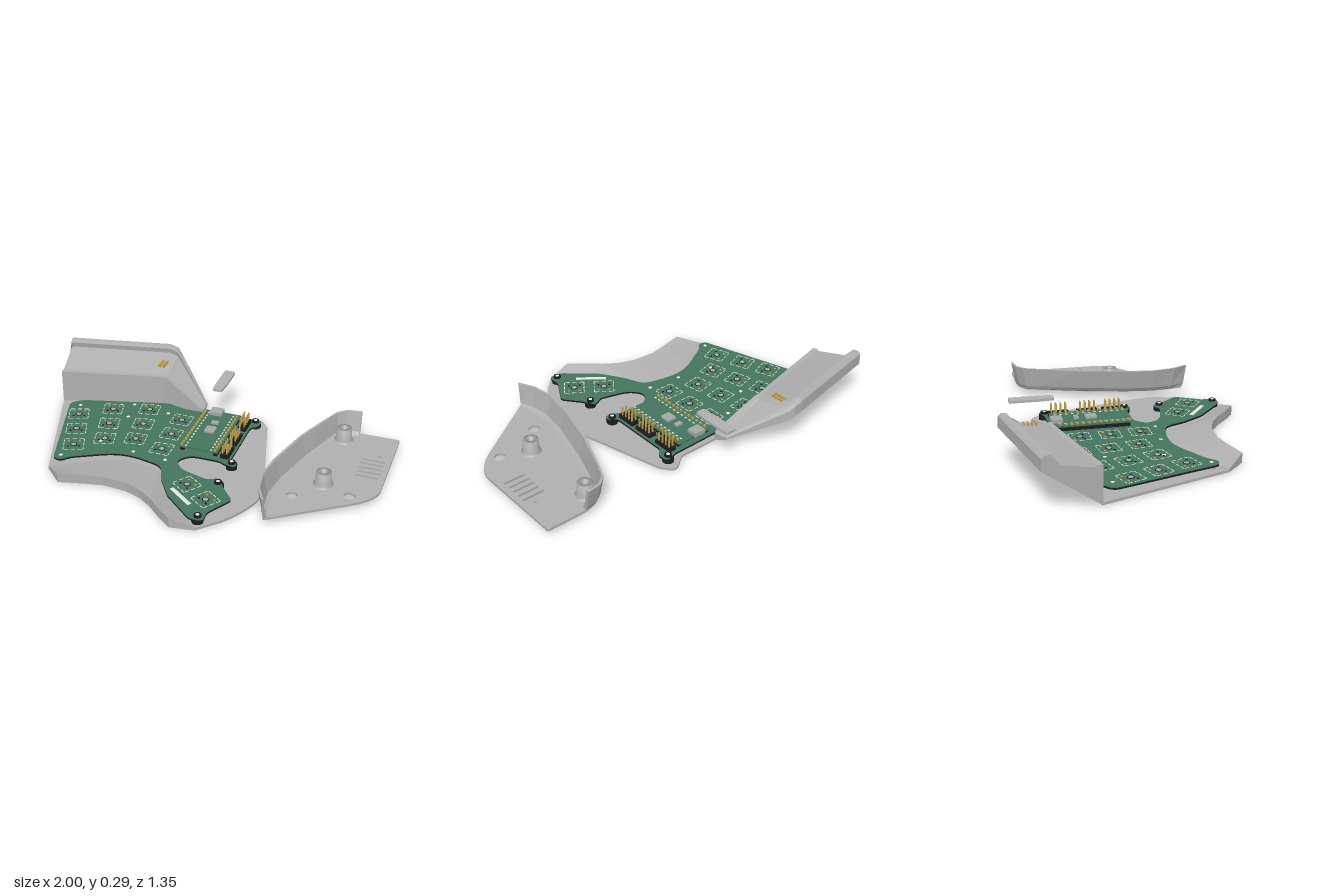
import * as THREE from 'three';

const paint = (name, color, side = THREE.FrontSide) => {
  const m = new THREE.MeshStandardMaterial({ color, side });
  m.name = name;
  return m;
};

// Closed outline with rounded corners; points are [x, z, radius]
function outline(pts, radius, PathType = THREE.Shape) {
  const s = new PathType(), n = pts.length;
  const v = pts.map(p => new THREE.Vector2(p[0], -p[1]));
  for (let i = 0; i < n; i++) {
    const a = v[(i + n - 1) % n], b = v[i], c = v[(i + 1) % n];
    const r = Math.min(pts[i][2] ?? radius, a.distanceTo(b) * 0.48, b.distanceTo(c) * 0.48);
    const p = b.clone().add(a.clone().sub(b).setLength(r)), q = b.clone().add(c.clone().sub(b).setLength(r));
    if (i) s.lineTo(p.x, p.y); else s.moveTo(p.x, p.y);
    if (r > 0) s.quadraticCurveTo(b.x, b.y, q.x, q.y);
  }
  s.closePath();
  return s;
}

function roundHole(x, z, r) {
  const p = new THREE.Path();
  p.absarc(x, -z, r, 0, Math.PI * 2, true);
  return p;
}

// Flat plate lying in xz, from y0 up to y0 + h
function plate(shape, y0, h) {
  const g = new THREE.ExtrudeGeometry(shape, { depth: h, bevelEnabled: false, curveSegments: 6 });
  return g.rotateX(-Math.PI / 2).translate(0, y0, 0);
}

// Skin over matching closed rings of [x, y, z], with end caps
function loft(rings) {
  const pos = [], n = rings[0].length;
  for (let i = 0; i + 1 < rings.length; i++) {
    for (let j = 0; j < n; j++) {
      const k = (j + 1) % n, A = rings[i], B = rings[i + 1];
      pos.push(...A[j], ...B[j], ...B[k], ...A[j], ...B[k], ...A[k]);
    }
  }
  for (const r of [rings[0], rings[rings.length - 1]])
    for (let j = 1; j + 1 < n; j++) pos.push(...r[0], ...r[j], ...r[j + 1]);
  const g = new THREE.BufferGeometry();
  g.setAttribute('position', new THREE.Float32BufferAttribute(pos, 3));
  g.computeVertexNormals();
  return g;
}

export function createModel() {
  const root = new THREE.Group();
  const gray = paint('caseGray', 0xb0b0b0, THREE.DoubleSide);
  const green = paint('boardGreen', 0x44755e);
  const black = paint('black', 0x1c1c1c);
  const white = paint('printWhite', 0xe6e6e2);
  const gold = paint('pinGold', 0xc2a04c);
  const silver = paint('metalSilver', 0xa4a8a6);

  const add = (name, geo, mat, parent = root) => {
    const m = new THREE.Mesh(geo, mat);
    m.name = name;
    parent.add(m);
    return m;
  };
  const box = (name, x, y, z, w, h, d, mat, parent) =>
    add(name, new THREE.BoxGeometry(w, h, d).translate(x, y, z), mat, parent);
  const disc = (name, x, y, z, r, h, mat, parent, r2 = r) =>
    add(name, new THREE.CylinderGeometry(r, r2, h, 20).translate(x, y, z), mat, parent);

  // Base plate and raised wrist edge
  const inner = [[-.706, .4], [-.5, .265], [-.35, .212], [-.21, .225], [-.13, .255], [-.05, .41], [.01, .48], [.21, .655]];
  const outer = [[-.604, .5], [-.47, .467], [-.37, .448], [-.24, .458], [-.15, .49], [-.07, .545], [0, .61], [.08, .674]];
  const base = outline([
    [-.945, -.28, 0], [-.36, -.415], [-.115, -.37, 0], [.12, -.37], [.215, -.445, .06], [.27, -.37],
    [.42, .2, .1], [.43, .33, .1], [.35, .51, .1], [.21, .655, 0], ...outer.slice().reverse(), [-.706, .4, 0],
  ], .01);
  add('basePlate', plate(base, 0, .014), gray);
  add('wristEdge', loft(inner.map(([x, z], i) => [
    [x, .005, z], [x, .016, z], [outer[i][0], .053, outer[i][1]], [outer[i][0], 0, outer[i][1]],
  ])), gray);

  // Rear tray: sloped underside, upright front wall, shelf and rear lip
  const section = (front, rim, wall, top) => {
    const mix = (t, y) => [front[0] + (rim[0] - front[0]) * t, y, front[1] + (rim[1] - front[1]) * t];
    return [
      mix(0, 0), mix(0, wall), mix(.1, wall), mix(.12, wall - .008), mix(.86, top * .84),
      mix(.84, top * .94), mix(.86, top), mix(.95, top), mix(1, top * .95), mix(1.01, top * .74),
    ];
  };
  add('rearTray', loft([
    section([-.945, -.275], [-1, -.56], .2, .285),
    section([-.38, -.408], [-.42, -.675], .2, .285),
    section([-.35, -.408], [-.37, -.675], .198, .27),
    section([-.33, -.405], [-.345, -.66], .185, .245),
    section([-.115, -.365], [-.115, -.45], .055, .06),
  ]), gray);
  for (let i = 0; i < 8; i++)
    box('trayContact', -.425 + (i % 2) * .024, .222, -.555 + (i >> 1) * .02, .013, .014, .01, gold);

  // Circuit board
  const board = outline([
    [-.87, -.21, .04], [-.81, -.26, .04], [-.33, -.39], [-.22, -.36], [.16, -.365], [.235, -.39, .035], [.235, -.32, .03],
    [.195, -.29], [.195, .06], [.24, .09], [.235, .12], [.19, .115], [.14, .09], [-.02, .09, .06], [-.075, .16, .05],
    [-.02, .235, .05], [.14, .28], [.2, .245, .03], [.24, .32], [.315, .41], [.235, .55], [.24, .63, .035],
    [.165, .625], [-.005, .475], [-.085, .35], [-.13, .235, .05], [-.37, .18, .12], [-.61, .31], [-.66, .36], [-.7, .35],
  ], .02);
  const pcb = new THREE.Group();
  pcb.name = 'circuitBoard';
  root.add(pcb);
  add('boardEdge', plate(board, .033, .009), black, pcb);
  add('boardFace', plate(board, .042, .004), green, pcb);

  // Mounting points and screw positions
  for (const [x, z] of [[.203, -.36], [.21, .09], [.203, .29], [.203, .6]]) {
    disc('standoff', x, .026, z, .03, .03, black, pcb);
    disc('screwHead', x, .05, z, .02, .014, black, pcb);
    disc('screwHole', x, .055, z, .01, .006, white, pcb);
    disc('baseScrew', x, 0, z, .014, .004, white);
  }
  for (const [x, z] of [[-.13, .18], [-.32, .16], [-.29, -.28], [-.49, -.17], [-.51, -.31], [-.8, -.2], [-.67, .32], [-.53, .12]]) {
    disc('boardHole', x, .046, z, .01, .003, white, pcb);
    disc('baseScrew', x, 0, z, .014, .004, white);
    disc('standoff', x, .023, z, .02, .022, gray);
  }

  // Key positions: x, z, turn in degrees
  const keys = [
    [-.765, -.105, 20], [-.71, .045, 20], [-.652, .2, 20], [-.604, -.222, 15], [-.561, -.067, 15], [-.519, .088, 15],
    [-.406, -.286, 8.5], [-.38, -.126, 8.5], [-.358, .035, 8.5], [-.193, -.238, 0], [-.193, -.078, 0], [-.187, .083, 0],
    [.059, .356, -36], [.193, .452, -36],
  ];
  for (const [x, z, turn] of keys) {
    const key = new THREE.Group();
    key.name = 'keyFootprint';
    key.position.set(x, .0465, z);
    key.rotation.y = THREE.MathUtils.degToRad(turn);
    pcb.add(key);
    for (const s of [-1, 1]) for (const t of [-1, 0, 1]) {
      box('printLine', t * .038, 0, s * .054, .025, .002, .004, white, key);
      box('printLine', s * .054, 0, t * .038, .004, .002, .025, white, key);
      if (t) disc('solderPad', t * .03, 0, s * .026 - .006, .006, .003, s > 0 ? black : gold, key);
    }
    disc('keyHoleRim', 0, 0, 0, .019, .002, black, key);
    disc('keyHole', 0, .001, 0, .014, .002, silver, key);
    box('socket', 0, -.02, .025, .08, .012, .035, black, key);
  }
  // Printed band beside the thumb keys
  const band = box('printBand', 0, 0, 0, .17, .002, .022, white, pcb);
  band.position.set(.065, .047, .468);
  band.rotation.y = -.66;

  // Controller module with its pin rows
  const ctl = new THREE.Group();
  ctl.name = 'controller';
  root.add(ctl);
  box('controllerBoard', .015, .07, -.145, .21, .01, .41, green, ctl);
  box('controllerChip', .012, .08, -.14, .055, .012, .06, silver, ctl);
  box('controllerPort', -.015, .084, -.33, .07, .022, .06, silver, ctl);
  box('controllerButton', .012, .08, -.22, .04, .012, .025, silver, ctl);
  for (const x of [-.082, .105]) {
    box('pinStrip', x, .055, -.14, .022, .02, .39, black, ctl);
    for (let i = 0; i < 13; i++) {
      box('pin', x, .077, -.32 + i * .031, .012, .016, .012, gold, ctl);
      box('pinPrint', x + (x > 0 ? -.022 : .022), .0755, -.32 + i * .031, .008, .002, .014, white, ctl);
    }
  }
  // Upright headers along the right edge
  for (const [z, n] of [[-.29, 4], [-.13, 4], [.01, 4]]) {
    box('headerBody', .16, .056, z, .045, .02, n * .028, black, ctl);
    for (let i = 0; i < n; i++) for (const x of [.146, .17])
      box('headerPin', x, .085, z + (i - (n - 1) / 2) * .026, .007, .06, .007, gold, ctl);
  }

  // Loose cable key above the port
  const bar = outline([[-.052, -.58], [.01, -.58], [.01, -.42], [.004, -.345], [-.048, -.345], [-.052, -.42]], .008);
  add('portCover', plate(bar, .204, .013), gray);

  // Side cover: floor with holes, slots and posts
  const floor = outline([
    [.78, -.435, 0], [1, -.435, .01], [1, .12, .07], [.93, .21, .07], [.505, .51, .02], [.49, .36, .05],
    [.508, .16, .1], [.575, -.1, .1], [.65, -.33], [.685, -.4, .03], [.72, -.42],
  ], .02);
  floor.holes.push(roundHole(.861, .179, .031), roundHole(.588, .27, .031), roundHole(.93, -.233, .008));
  for (let i = 0; i < 5; i++) {
    const z = -.185 + i * .041;
    floor.holes.push(outline([[.845, z - .007], [.845, z + .007], [.968, z + .007], [.968, z - .007]], .003, THREE.Path));
  }
  const cover = new THREE.Group();
  cover.name = 'sideCover';
  root.add(cover);
  add('coverFloor', plate(floor, .032, .014), gray, cover);

  // Flared cover wall: rim point, then foot point
  const wall = [
    [.78, -.463, .78, -.42], [.7, -.452, .717, -.408], [.65, -.41, .675, -.382], [.61, -.32, .652, -.32], [.525, -.105, .578, -.104],
    [.455, .165, .508, .163], [.437, .32, .487, .323], [.458, .447, .497, .43], [.503, .533, .513, .5],
  ];
  add('coverWall', loft(wall.map(([x, z, u, w]) => {
    const at = (t, y, inset) => {
      const d = Math.hypot(.78 - x, .1 - z);
      return [x + (u - x) * t + inset * (.78 - x) / d, y, z + (w - z) * t + inset * (.1 - z) / d];
    };
    return [at(1, .032, .005), at(.75, .04, 0), at(.5, .06, 0), at(0, .17, 0), at(0, .17, .014), at(.5, .06, .014), at(1, .046, .014)];
  })), gray, cover);

  // Hollow posts
  const profile = [[.056, .045], [.045, .056], [.04, .12], [.018, .12], [.018, .08], [0, .08]].map(p => new THREE.Vector2(...p));
  for (const [x, z] of [[.711, -.34], [.711, .118]])
    add('coverPost', new THREE.LatheGeometry(profile, 24).translate(x, 0, z), gray, cover);

  return root;
}
